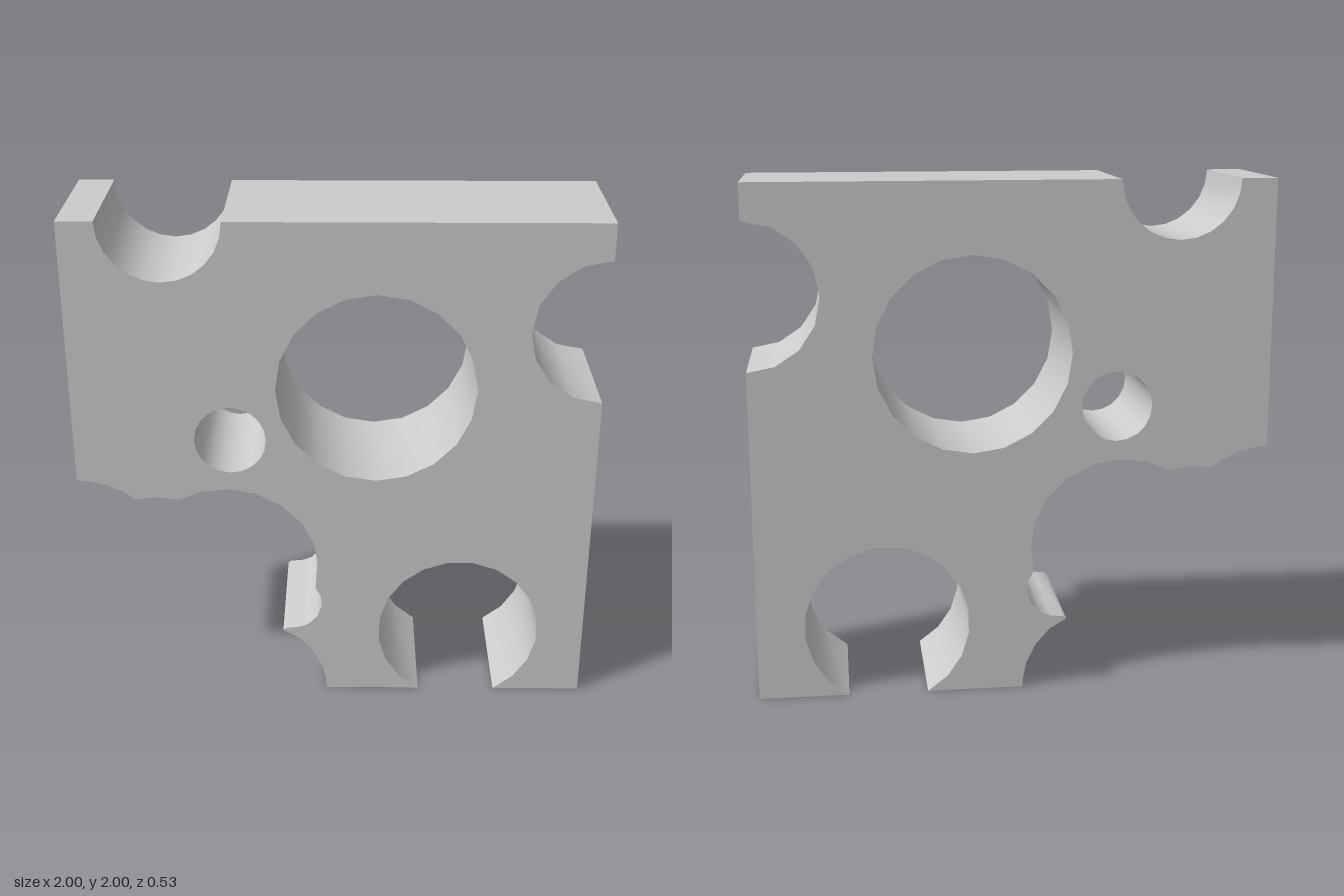
import * as THREE from 'three';
import { toCreasedNormals } from 'three/addons/utils/BufferGeometryUtils.js';

const DEPTH = 0.53;

// Points along a circular arc, angles in degrees, both ends included
function arc(cx, cy, r, from, to, steps) {
  const points = [];
  for (let i = 0; i <= steps; i++) {
    const a = THREE.MathUtils.degToRad(from + ((to - from) * i) / steps);
    points.push(new THREE.Vector2(cx + r * Math.cos(a), cy + r * Math.sin(a)));
  }
  return points;
}

const points = (list) => list.map(([x, y]) => new THREE.Vector2(x, y));

export function createModel() {
  const group = new THREE.Group();
  group.name = 'perforatedSlab';

  // Outer edge, counter-clockwise from the bottom left foot
  const outline = new THREE.Shape([
    ...arc(0.495, 0.282, 0.322, 241.2, -61.2, 17), // open hole in the bottom edge
    ...points([[1, 0]]),
    ...arc(1, 1.58, 0.28, 270, 90, 8), // bite in the side edge
    ...points([[1, 2]]),
    ...arc(-0.635, 2, 0.228, 0, -180, 12), // bite in the top edge
    ...points([[-1, 2]]),
    // overlapping bites that eat away the lower corner
    ...points([
      [-1, 0.962], [-0.95, 0.958], [-0.88, 0.94], [-0.82, 0.912], [-0.78, 0.88],
      [-0.7, 0.89], [-0.61, 0.88],
      [-0.52, 0.915], [-0.41, 0.927], [-0.31, 0.908], [-0.21, 0.855], [-0.13, 0.775],
      [-0.083, 0.68], [-0.07, 0.58], [-0.08, 0.48],
      [-0.06, 0.445], [-0.055, 0.4], [-0.072, 0.35], [-0.11, 0.31], [-0.15, 0.295],
      [-0.2, 0.29], [-0.212, 0.28],
      [-0.145, 0.24], [-0.09, 0.178], [-0.052, 0.1], [-0.04, 0.04], [-0.037, 0],
    ]),
  ]);

  // Closed through holes
  const holes = [
    [0.153, 1.347, 0.38, 20],
    [-0.402, 1.137, 0.137, 20],
  ];
  for (const [x, y, r, sides] of holes) {
    outline.holes.push(new THREE.Path(arc(x, y, r, 0, -360, sides).slice(0, -1)));
  }

  const extruded = new THREE.ExtrudeGeometry(outline, { depth: DEPTH, bevelEnabled: false });
  extruded.translate(0, 0, -DEPTH / 2);

  // Smooth bores with crisp rims
  const slab = new THREE.Mesh(
    toCreasedNormals(extruded, 0.6),
    new THREE.MeshStandardMaterial({ color: 0xcccccc })
  );
  slab.name = 'slab';
  group.add(slab);
  return group;
}
